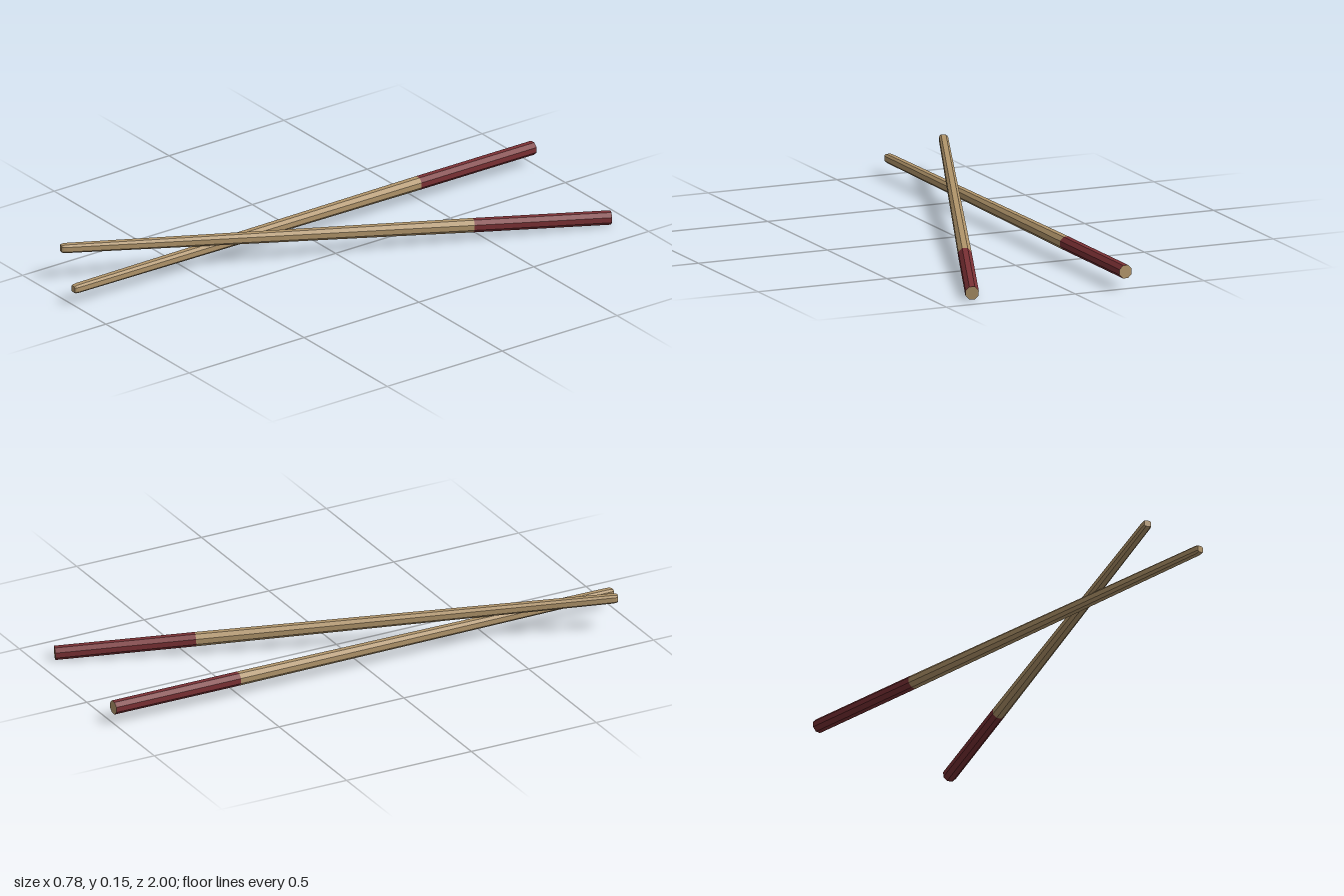
import * as THREE from 'three';

const wood = new THREE.MeshStandardMaterial({ color: 0xb0946a, flatShading: true });
const lacquer = new THREE.MeshStandardMaterial({ color: 0x7a3034, flatShading: true });

// Chamfered-square cross-section: half width w, corner cut c, at distance z along the stick
function ring([z, w, c]) {
  const i = w - c;
  return [[w, -i], [w, i], [i, w], [-i, w], [-w, i], [-w, -i], [-i, -w], [i, -w]].map(([x, y]) => [x, y, z]);
}

// Joins the sections (ordered by rising z) into a faceted skin
function loft(sections, { sides = true, backCap = false, frontCap = false }) {
  const rings = sections.map(ring);
  const points = [];
  const n = 8;
  for (let k = 0; k < n; k++) {
    const j = (k + 1) % n;
    if (sides) {
      for (let i = 0; i + 1 < rings.length; i++) {
        const p = rings[i], q = rings[i + 1];
        points.push(p[k], p[j], q[j], p[k], q[j], q[k]);
      }
    }
    const first = rings[0], last = rings[rings.length - 1];
    if (backCap) points.push([0, 0, first[0][2]], first[j], first[k]);
    if (frontCap) points.push([0, 0, last[0][2]], last[k], last[j]);
  }
  const geometry = new THREE.BufferGeometry();
  geometry.setAttribute('position', new THREE.Float32BufferAttribute(points.flat(), 3));
  geometry.computeVertexNormals();
  return geometry;
}

function part(name, geometry, material) {
  const mesh = new THREE.Mesh(geometry, material);
  mesh.name = name;
  return mesh;
}

const butt = [-1, 0.0235, 0.0138];
const join = [-0.5, 0.0235, 0.0138];
const tip = [[0.98, 0.0158, 0.007], [0.994, 0.0145, 0.006], [1, 0.0115, 0.004]];

// One stick, placed from the middle of its butt to the middle of its tip
function chopstick(name, from, to) {
  const stick = new THREE.Group();
  stick.name = name;
  stick.add(
    part('shaft', loft([join, ...tip], { frontCap: true }), wood),
    part('handle', loft([butt, join], {}), lacquer),
    part('buttEnd', loft([butt], { sides: false, backCap: true }), wood)
  );
  const a = new THREE.Vector3(...from), b = new THREE.Vector3(...to);
  stick.position.copy(a).add(b).multiplyScalar(0.5);
  stick.lookAt(b);
  return stick;
}

export function createModel() {
  const model = new THREE.Group();
  model.name = 'chopsticks';
  model.add(
    chopstick('lowerChopstick', [-0.196, 0.063, -1], [-0.196, 0.063, 1]),
    chopstick('upperChopstick', [0.367, 0.025, -0.928], [-0.377, 0.132, 0.921])
  );
  return model;
}
